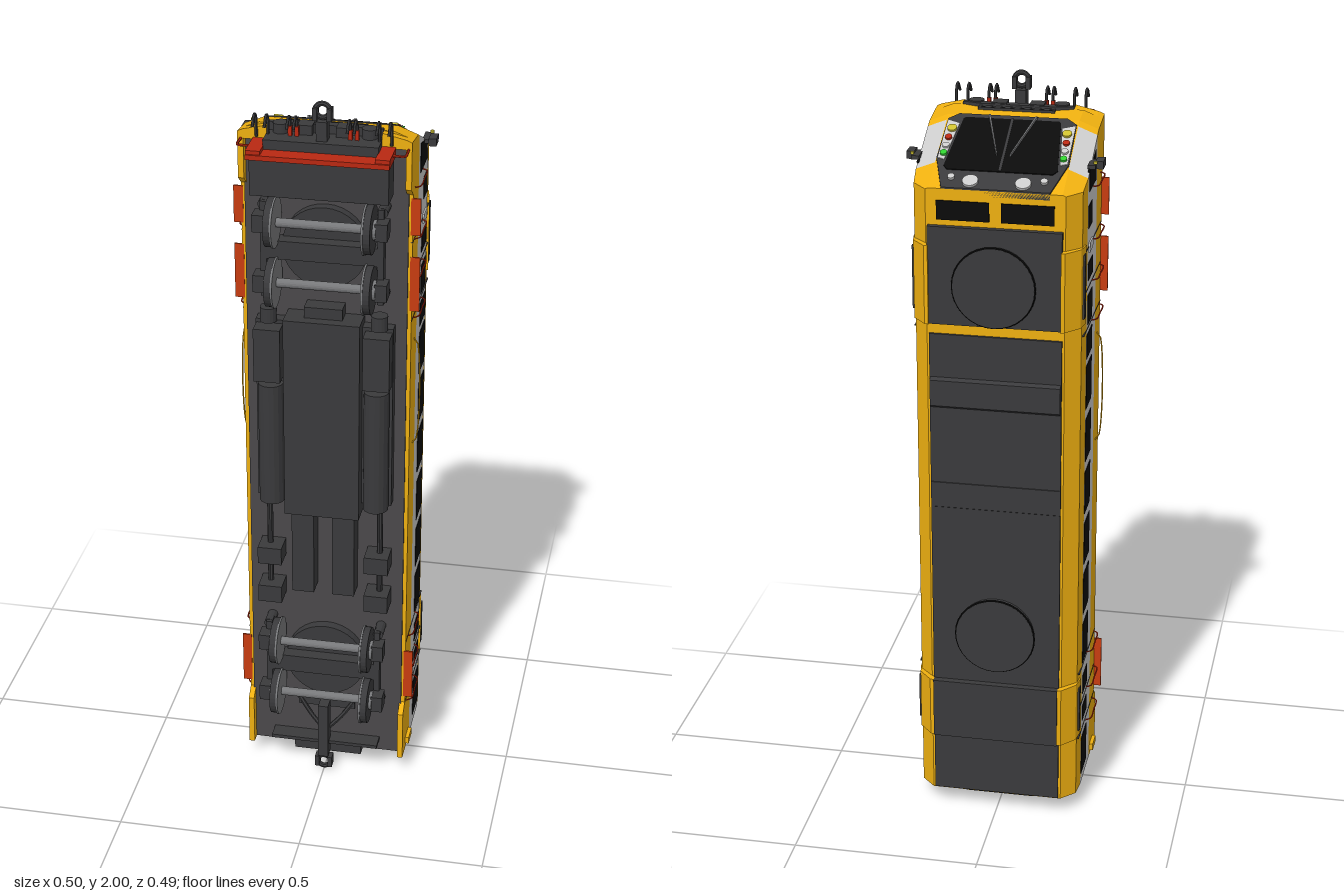
import * as THREE from 'three';

const mat = (color) => new THREE.MeshStandardMaterial({ color, flatShading: true });
const M = {
  yellow: mat(0xefb010), white: mat(0xc6c6c6), dark: mat(0x3a3a3c), floor: mat(0x4a484a),
  black: mat(0x0b0b0b), red: mat(0xb92812), orange: mat(0xc83c10), steel: mat(0x77787a),
  green: mat(0x30d030), amber: mat(0xcfc030), lamp: mat(0xcccccc),
};

// Height of the sloping cab end at a given x and z
function cabY(x, z) {
  const base = z > 0.035 ? 1.905 + (z - 0.035) * 0.15 : 1.905 + (z - 0.035) * 0.48;
  return base - Math.max(0, Math.abs(x) - 0.17) * 0.4;
}

export function createModel() {
  const model = new THREE.Group();
  const add = (name, geo, material, x = 0, y = 0, z = 0) => {
    const m = new THREE.Mesh(geo, material);
    m.name = name;
    m.position.set(x, y, z);
    model.add(m);
    return m;
  };
  // Box given by its limits
  const box = (name, material, x0, x1, y0, y1, z0, z1) =>
    add(name, new THREE.BoxGeometry(Math.abs(x1 - x0), y1 - y0, z1 - z0), material,
      (x0 + x1) / 2, (y0 + y1) / 2, (z0 + z1) / 2);
  const both = (fn) => [-1, 1].forEach(fn);
  const pair = (name, material, x0, x1, ...rest) =>
    both((s) => box(name, material, s * x0, s * x1, ...rest));
  // Cylinder along the chosen axis
  const rod = (name, material, r, len, axis, x, y, z, sides = 24) => {
    const g = new THREE.CylinderGeometry(r, r, len, sides);
    if (axis === 'x') g.rotateZ(Math.PI / 2);
    if (axis === 'z') g.rotateX(Math.PI / 2);
    return add(name, g, material, x, y, z);
  };
  const tube = (name, material, pts, r) =>
    add(name, new THREE.TubeGeometry(new THREE.CatmullRomCurve3(pts.map((p) => new THREE.Vector3(...p))), 16, r, 6), material);
  // Prism over an x,z outline, with ends set by rules
  const prism = (name, material, pts, bottom, top) => {
    const shape = new THREE.Shape(pts.map(([x, z]) => new THREE.Vector2(x, -z)));
    const g = new THREE.ExtrudeGeometry(shape, { depth: 1, bevelEnabled: false, curveSegments: 16 });
    g.rotateX(-Math.PI / 2);
    const p = g.attributes.position;
    for (let i = 0; i < p.count; i++) {
      const x = p.getX(i), z = p.getZ(i);
      p.setY(i, (p.getY(i) > 0.5 ? top : bottom)(x, z));
    }
    g.computeVertexNormals();
    return add(name, g, material);
  };
  const rear = () => 0.05;
  const rect = (x0, x1, z0, z1) => [[x0, z0], [x1, z0], [x1, z1], [x0, z1]];
  // Thin panel lying on the cab end
  const cabPanel = (name, material, pts, lift) =>
    prism(name, material, pts, (x, z) => cabY(x, z) - 0.015, (x, z) => cabY(x, z) + lift);

  // Body shell: centre and side bands
  [[-0.215, 0.035], [0.035, 0.1]].forEach(([a, b]) =>
    prism('bodyCore', M.yellow, rect(-0.17, 0.17, a, b), rear, cabY));
  both((s) => {
    prism('roofShoulder', M.yellow, [[s * 0.17, -0.215], [s * 0.178, -0.215], [s * 0.215, -0.178], [s * 0.22, -0.13], [s * 0.17, -0.13]], rear, cabY);
    prism('windowBand', M.white, rect(s * 0.17, s * 0.22, -0.13, 0.015), rear, cabY);
    prism('lowerSide', M.yellow, rect(s * 0.17, s * 0.22, 0.015, 0.035), rear, cabY);
    prism('lowerSide', M.yellow, rect(s * 0.17, s * 0.22, 0.035, 0.1), rear, cabY);
    prism('cabSkirt', M.yellow, rect(s * 0.205, s * 0.22, 0.1, 0.13), (x, z) => 1.75 + (z - 0.1) * 0.8, cabY);
    prism('nosePanel', M.yellow, rect(s * 0.145, s * 0.205, 0.1, 0.13), () => 1.88, cabY);
    prism('rearSkirt', M.yellow, rect(s * 0.205, s * 0.22, 0.1, 0.13), rear, (x, z) => 0.22 - (z - 0.1) * 0.8);
  });
  box('floor', M.floor, -0.21, 0.21, 0.052, 1.88, 0.09, 0.104);

  // Side windows: y limits, then z limits
  const tall = [-0.125, -0.04], small = [-0.115, -0.045];
  [[0.08, 0.195, tall], [0.245, 0.29, small], [0.33, 0.385, small], [0.43, 0.55, tall], [0.58, 0.7, tall],
    [0.73, 0.85, tall], [0.88, 1.0, tall], [1.03, 1.15, tall], [1.18, 1.3, tall], [1.32, 1.385, tall],
    [1.41, 1.49, small], [1.53, 1.577, small], [1.67, 1.73, [-0.12, -0.065]]]
    .forEach(([a, b, [z0, z1]]) => pair('sideWindow', M.black, 0.215, 0.2215, a, b, z0, z1));
  both((s) => {
    const g = new THREE.ExtrudeGeometry(new THREE.Shape([[0.008, 1.765], [0.112, 1.765], [0.112, 1.82], [0.008, 1.845]]
      .map((p) => new THREE.Vector2(...p))), { depth: 0.006, bevelEnabled: false });
    g.rotateY(Math.PI / 2);
    add('cabSideWindow', g, M.black, s * 0.2185 - 0.003, 0, 0);
  });

  // Doors, handrails and steps
  [0.22, 0.31, 0.42, 1.4, 1.51, 1.62].forEach((y) =>
    pair('doorSeam', M.dark, 0.215, 0.2208, y - 0.0015, y + 0.0015, -0.17, 0.1));
  [0.21, 0.315, 0.425, 1.4, 1.51, 1.62, 1.76].forEach((y) => both((s) =>
    tube('handrail', M.red, [[s * 0.22, y, -0.05], [s * 0.232, y, -0.04], [s * 0.234, y, 0.01], [s * 0.232, y, 0.065], [s * 0.22, y, 0.075]], 0.002)));
  [[0.24, 0.39], [1.43, 1.58], [1.64, 1.74]].forEach(([a, b]) =>
    pair('step', M.orange, 0.215, 0.24, a, b, 0.096, 0.101));
  both((s) => tube('sideRail', M.yellow, [[s * 0.22, 1.02, 0.05], [s * 0.229, 1.03, 0.05], [s * 0.229, 1.32, 0.05], [s * 0.22, 1.33, 0.05]], 0.002));
  pair('sideLocker', M.white, 0.215, 0.224, 1.605, 1.63, -0.11, -0.06);
  pair('rearMarker', M.yellow, 0.215, 0.23, 0.065, 0.085, 0.03, 0.08);

  // Roof panels, fans and housings
  box('roofPanel', M.dark, -0.172, 0.172, 0.055, 1.4, -0.222, -0.2);
  box('frontRoofPanel', M.dark, -0.172, 0.172, 1.43, 1.69, -0.23, -0.2);
  pair('roofWindow', M.black, 0.015, 0.15, 1.705, 1.755, -0.219, -0.2);
  const hump = (y0, y1, h) => {
    const g = new THREE.ExtrudeGeometry(new THREE.Shape([[0.2, y0], [0.215 + h, y0 + 0.025], [0.215 + h, y1 - 0.025], [0.2, y1]]
      .map((p) => new THREE.Vector2(...p))), { depth: 0.34, bevelEnabled: false });
    g.rotateY(Math.PI / 2).rotateZ(Math.PI).translate(0.17, 2 * (y0 + y1) / 2, 0);
    const m = add('roofHump', g, M.dark);
    m.position.x = 0;
    g.computeBoundingBox();
    m.position.x = -(g.boundingBox.min.x + g.boundingBox.max.x) / 2;
  };
  hump(1.18, 1.3, 0.016);
  hump(0.89, 1.01, 0.008);
  box('rearRoofUnit', M.dark, -0.17, 0.17, 0.23, 0.4, -0.24, -0.2);
  [[0.55, -0.228], [1.54, -0.234]].forEach(([y, z]) => {
    rod('fan', M.dark, 0.105, 0.024, 'z', 0, y, z, 32);
    add('fanRim', new THREE.TorusGeometry(0.105, 0.004, 6, 32), M.black, 0, y, z - 0.008);
  });
  [[0.23, 0.4], [1.43, 1.64]].forEach(([a, b]) => both((s) => {
    prism('roofShroud', M.yellow, [[s * 0.17, -0.236], [s * 0.18, -0.234], [s * 0.215, -0.195], [s * 0.222, -0.155], [s * 0.17, -0.155]], () => a, () => b);
    for (let i = 0; i < 2; i++) box('shroudVent', M.dark, s * 0.213, s * 0.2225, a + 0.02, b - 0.02, -0.18 + i * 0.014, -0.172 + i * 0.014);
  }));

  // Cab face: mask, windscreen, lamps and wipers
  cabPanel('cabMask', M.dark, [[-0.138, -0.215], [0.138, -0.215], [0.165, -0.13], [0.169, -0.12], [0.166, 0.015], [0.14, 0.034],
    [-0.14, 0.034], [-0.166, 0.015], [-0.169, -0.12], [-0.165, -0.13]], 0.004);
  cabPanel('windscreen', M.black, [[-0.135, -0.157], [0.135, -0.157], [0.145, -0.145], [0.126, 0.015], [0.12, 0.02],
    [-0.12, 0.02], [-0.126, 0.015], [-0.145, -0.145]], 0.006);
  cabPanel('windscreenPillar', M.dark, rect(-0.003, 0.003, -0.155, 0.02), 0.008);
  both((s) => {
    cabPanel('lampPanel', M.white, [[s * 0.148, -0.125], [s * 0.165, -0.12], [s * 0.165, 0.008], [s * 0.133, -0.002]], 0.0055);
    cabPanel('wiper', M.steel, [[s * 0.016, -0.105], [s * 0.019, -0.105], [s * 0.063, 0.026], [s * 0.058, 0.026]], 0.012);
    [['greenLamp', M.green, 0.153, -0.105, 0.009], ['whiteLamp', M.lamp, 0.152, -0.08, 0.009], ['redLamp', M.red, 0.151, -0.052, 0.009],
      ['amberLamp', M.amber, 0.148, -0.021, 0.012], ['headlight', M.lamp, 0.067, -0.193, 0.02], ['upperMarker', M.lamp, 0.118, -0.182, 0.009]]
      .forEach(([name, m, x, z, r]) => {
        rod(name, m, r, 0.016, 'y', s * x, cabY(x, z) + 0.003, z).rotation.x = -Math.atan(0.48);
      });
    box('sideCamera', M.dark, s * 0.232, s * 0.252, 1.82, 1.84, -0.095, -0.055);
    box('cameraArm', M.dark, s * 0.215, s * 0.235, 1.825, 1.835, -0.115, -0.06);
    rod('cameraLamp', M.amber, 0.005, 0.006, 'y', s * 0.234, 1.84, -0.106, 12);
  });
  for (let i = 0; i < 4; i++) box('noseGrille', M.dark, -0.1, 0.1, 1.9, 1.917, 0.07 + i * 0.005, 0.073 + i * 0.005);

  // Coupler pocket and plough
  box('couplerPocket', M.dark, -0.145, 0.145, 1.75, 1.9, 0.09, 0.18);
  prism('pocketTop', M.dark, [[-0.1, 0.088], [0.1, 0.088], [0.145, 0.1], [0.145, 0.11], [-0.145, 0.11], [-0.145, 0.1]], () => 1.89, () => 1.922);
  box('ploughBacking', M.dark, -0.175, 0.175, 1.76, 1.865, 0.13, 0.203);
  box('ploughBlade', M.red, -0.18, 0.18, 1.862, 1.875, 0.178, 0.225);
  pair('ploughWing', M.red, 0.143, 0.18, 1.862, 1.885, 0.13, 0.22);
  both((s) => tube('ploughHandle', M.red, [[s * 0.18, 1.88, 0.174], [s * 0.208, 1.88, 0.174], [s * 0.211, 1.88, 0.17], [s * 0.211, 1.88, 0.13]], 0.0035));
  both((s) => {
    rod('buffer', M.dark, 0.02, 0.03, 'y', s * 0.112, 1.91, 0.115);
    box('junctionBox', M.dark, s * 0.03, s * 0.068, 1.9, 1.925, 0.09, 0.13);
    [0.067, 0.084, 0.14, 0.17].forEach((x) => {
      tube('hose', M.dark, [[s * x, 1.89, 0.135], [s * x, 1.945, 0.14], [s * x, 1.955, 0.155], [s * x, 1.93, 0.18]], 0.004);
      if (x < 0.1) box('hoseValve', M.red, s * (x - 0.005), s * (x + 0.005), 1.9, 1.925, 0.132, 0.142);
    });
  });

  // Couplers at both ends
  [[1.85, 1.95, 1.975], [0.05, 0.22, 0.025]].forEach(([a, b, eye]) => {
    box('couplerShank', M.dark, -0.014, 0.014, a, b, 0.13, 0.165);
    add('couplerEye', new THREE.TorusGeometry(0.018, 0.007, 8, 20), M.dark, 0, eye, 0.148);
    pair('couplerJaw', M.dark, 0.012, 0.024, Math.min(eye, 1.963) - 0.012, Math.min(eye, 1.963) + 0.02, 0.135, 0.162);
  });
  box('rearCrossbar', M.dark, -0.15, 0.15, 0.085, 0.095, 0.104, 0.15);
  prism('drawbarPlate', M.dark, rect(-0.08, 0.08, 0.104, 0.112), (x) => 0.13 + Math.abs(x) * 0.7, () => 0.22);
  both((s) => tube('drawbarBrace', M.dark, [[s * 0.08, 0.215, 0.11], [s * 0.045, 0.165, 0.12], [s * 0.012, 0.13, 0.13]], 0.006));

  // Bogies
  [[1.6, 0.0825], [0.353, 0.083]].forEach(([yc, half]) => {
    rod('turntable', M.dark, 0.11, 0.03, 'z', 0, yc, 0.115, 32);
    box('bolster', M.dark, -0.15, 0.15, yc - 0.025, yc + 0.025, 0.12, 0.165);
    pair('bogieFrame', M.dark, 0.142, 0.158, yc - 0.13, yc + 0.13, 0.135, 0.165);
    both((e) => {
      const y = yc + e * half;
      rod('axle', M.steel, 0.012, 0.3, 'x', 0, y, 0.18, 16);
      both((s) => {
        rod('wheel', M.dark, 0.063, 0.018, 'x', s * 0.126, y, 0.18, 32);
        rod('wheelFlange', M.steel, 0.066, 0.005, 'x', s * 0.115, y, 0.18, 32);
        rod('wheelHub', M.steel, 0.026, 0.026, 'x', s * 0.13, y, 0.18, 20);
        box('axleBox', M.dark, s * 0.14, s * 0.172, y - 0.023, y + 0.023, 0.155, 0.2);
        rod('spring', M.dark, 0.014, 0.05, 'z', s * 0.152, y + 0.035 * e, 0.13, 12);
      });
    });
  });

  // Underfloor equipment
  box('engineCase', M.dark, -0.1, 0.1, 0.84, 1.41, 0.1, 0.178);
  box('engineCover', M.dark, -0.05, 0.05, 1.41, 1.44, 0.1, 0.15);
  pair('sideTray', M.dark, 0.1, 0.18, 0.87, 1.39, 0.1, 0.135);
  both((s) => {
    rod('airTank', M.dark, 0.034, 0.35, 'y', s * 0.14, 1.04, 0.145, 16);
    box('controlCase', M.dark, s * 0.108, s * 0.178, 1.23, 1.38, 0.1, 0.18);
    rod('tankCap', M.dark, 0.022, 0.04, 'y', s * 0.145, 1.41, 0.14, 16);
    box('exhaustBox', M.dark, s * 0.025, s * 0.085, 0.59, 0.84, 0.1, 0.16);
    box('batteryBox', M.dark, s * 0.113, s * 0.178, 0.55, 0.6, 0.1, 0.168);
    box('batteryBox', M.dark, s * 0.113, s * 0.178, 0.67, 0.72, 0.1, 0.168);
    rod('pipe', M.dark, 0.008, 0.3, 'y', s * 0.15, 0.74, 0.13, 10);
  });

  // Rear gangway and end windows
  box('gangway', M.dark, -0.095, 0.095, 0.02, 0.055, -0.17, 0.095);
  box('gangwayDoor', M.floor, -0.075, 0.075, 0.017, 0.03, -0.15, 0.08);
  pair('rearWindow', M.black, 0.12, 0.19, 0.048, 0.06, -0.12, -0.05);

  return model;
}
